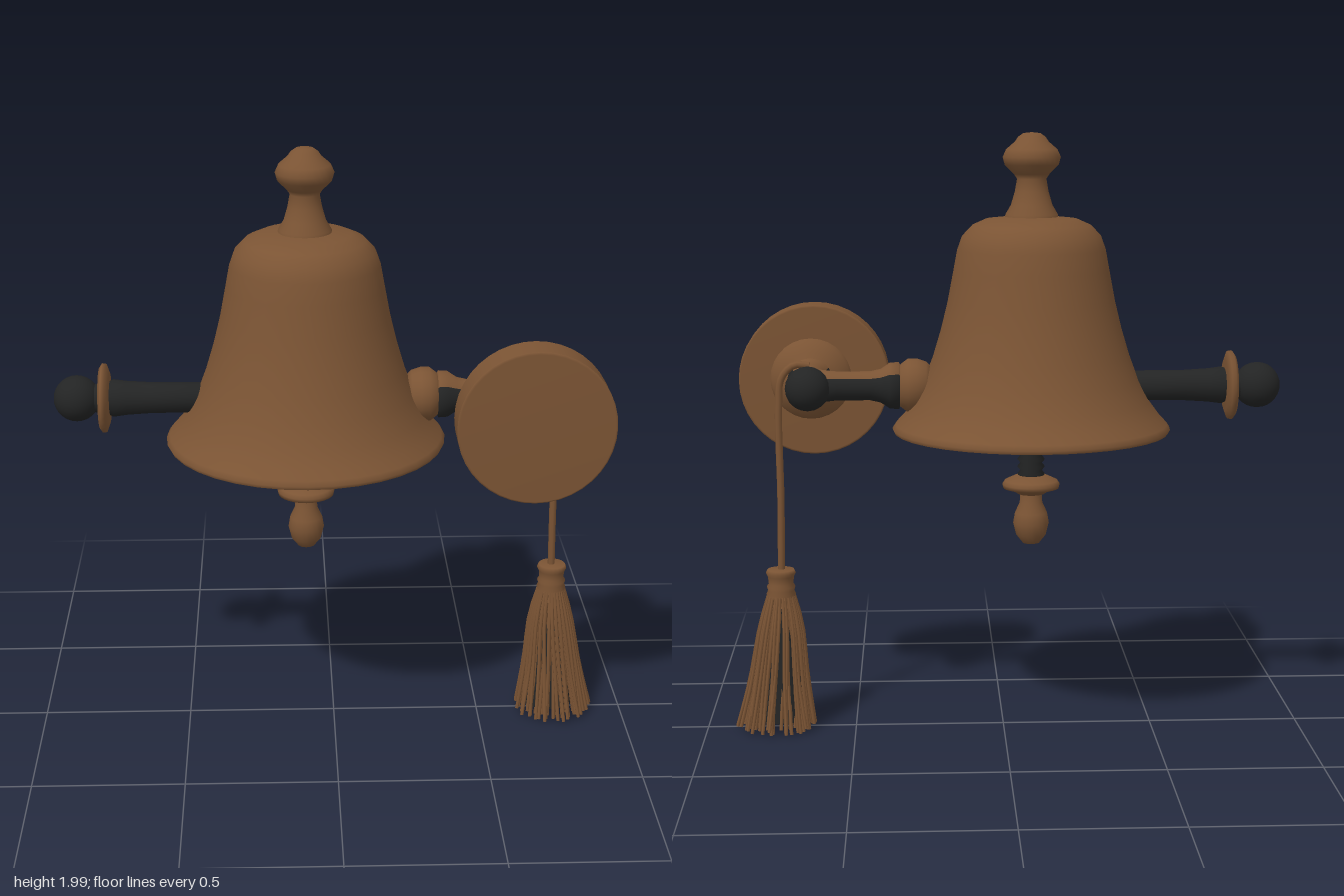
import * as THREE from 'three';

export function createModel() {
  const root = new THREE.Group();
  root.name = 'wallBell';
  const brown = new THREE.MeshStandardMaterial({ color: 0x7b5434, side: THREE.DoubleSide });
  brown.name = 'aged bronze';
  const black = new THREE.MeshStandardMaterial({ color: 0x232424, side: THREE.DoubleSide });
  black.name = 'black iron';

  const add = (parent, name, geo, mat, x = 0, y = 0, z = 0) => {
    const m = new THREE.Mesh(geo, mat);
    m.name = name;
    m.position.set(x, y, z);
    parent.add(m);
    return m;
  };
  const group = (name, x, y, z) => {
    const g = new THREE.Group();
    g.name = name;
    g.position.set(x, y, z);
    root.add(g);
    return g;
  };
  // Turned part from [radius, height] pairs, listed bottom to top
  const turned = (pts, seg = 28, start = 0, len = Math.PI * 2) =>
    new THREE.LatheGeometry(pts.map(p => new THREE.Vector2(p[0], p[1])), seg, start, len);

  // Bell with finial and clapper, all on one vertical axis
  const bell = group('bell', -0.093, 0, 0);
  add(bell, 'bellSkirt', turned([
    [0.455, 1.018], [0.461, 1.03], [0.45, 1.045], [0.425, 1.072], [0.39, 1.12], [0.355, 1.19],
    [0.325, 1.27], [0.298, 1.36], [0.276, 1.45], [0.257, 1.55], [0.244, 1.62], [0.228, 1.665],
    [0.195, 1.7], [0.15, 1.72], [0.075, 1.728],
  ], 36), brown);
  add(bell, 'bellUnderside', turned([[0, 0.965], [0.06, 0.97], [0.455, 1.018]], 36), brown);
  add(bell, 'finial', turned([
    [0.088, 1.715], [0.086, 1.735], [0.068, 1.765], [0.055, 1.81], [0.048, 1.85], [0.058, 1.865],
    [0.088, 1.895], [0.095, 1.92], [0.084, 1.945], [0.055, 1.97], [0.045, 1.985], [0.028, 1.997], [0, 2],
  ], 24), brown);
  const thread = [];
  for (let i = 0; i < 5; i++) {
    const y = 0.86 + i * 0.025;
    thread.push([0.036, y], [0.046, y + 0.012]);
  }
  add(bell, 'clapperThread', turned(thread, 18), black);
  add(bell, 'clapperDisc', turned([
    [0, 0.8], [0.045, 0.805], [0.06, 0.815], [0.093, 0.825], [0.096, 0.838], [0.088, 0.85], [0.05, 0.868], [0, 0.87],
  ]), brown);
  add(bell, 'clapperBulb', turned([
    [0, 0.63], [0.028, 0.637], [0.05, 0.665], [0.06, 0.705], [0.054, 0.74], [0.038, 0.775], [0.035, 0.815],
  ], 20), brown);

  // Side handle, pointing to the model's right
  const handle = group('handle', 0, 1.168, -0.003);
  handle.rotation.z = Math.PI / 2;
  add(handle, 'handleRod', turned([
    [0, 0.43], [0.05, 0.43], [0.051, 0.6], [0.056, 0.68], [0.062, 0.725], [0.05, 0.75], [0.046, 0.79],
  ], 16), black);
  add(handle, 'handleRing', turned([
    [0, 0.735], [0.085, 0.737], [0.113, 0.747], [0.115, 0.76], [0.1, 0.77], [0, 0.774],
  ]), brown);
  add(handle, 'handleKnob', new THREE.SphereGeometry(0.076, 20, 14), black, 0, 0.845, 0);

  // Bracket arm: bronze along its top, black iron below
  const TOP = 1.9;
  const twoTone = (parent, name, pts, up) => {
    add(parent, name + 'Top', turned(pts, 10, up - TOP / 2, TOP), brown);
    add(parent, name + 'Lower', turned(pts, 20, up + TOP / 2, Math.PI * 2 - TOP), black);
  };
  const arm = group('bracketArm', 0, 1.172, 0);
  arm.rotation.z = -Math.PI / 2;
  add(arm, 'armFlange', turned([
    [0, 0.235], [0.06, 0.235], [0.08, 0.255], [0.09, 0.285], [0.09, 0.315], [0.075, 0.335], [0.058, 0.355], [0, 0.36],
  ], 20), brown);
  twoTone(arm, 'armPipe', [
    [0.055, 0.335], [0.078, 0.345], [0.076, 0.375], [0.056, 0.405], [0.048, 0.44], [0.048, 0.55], [0.056, 0.62], [0, 0.65],
  ], Math.PI * 1.5);

  // Elbow stub running forward to the round wall plate
  const stub = group('plateStub', 0.645, 1.168, 0);
  stub.rotation.x = Math.PI / 2;
  twoTone(stub, 'stubPipe', [
    [0.062, -0.05], [0.066, 0], [0.064, 0.1], [0.072, 0.135], [0.085, 0.16],
  ], Math.PI);
  add(stub, 'elbowKnob', new THREE.SphereGeometry(0.074, 20, 14), black, 0, -0.036, 0);
  add(stub, 'stubFlare', turned([[0.07, 0.14], [0.095, 0.155], [0.13, 0.178], [0.14, 0.205]]), brown);

  const plate = group('roundPlate', 0.635, 1.163, 0);
  plate.rotation.x = Math.PI / 2;
  add(plate, 'plateBody', new THREE.CylinderGeometry(0.255, 0.255, 0.112, 40, 1, true), brown, 0, 0.262, 0);
  add(plate, 'plateBack', turned([[0, 0.199], [0.248, 0.199], [0.255, 0.206]], 40), brown);
  add(plate, 'plateFront', turned([[0.255, 0.318], [0.248, 0.325], [0, 0.325]], 40), brown);

  // Pull cord looped over the elbow
  const v = (x, y, z) => new THREE.Vector3(x, y, z);
  const cordPath = new THREE.CatmullRomCurve3([
    v(0.64, 1.24, 0), v(0.69, 1.242, 0), v(0.732, 1.2, 0), v(0.743, 1.1, 0), v(0.741, 0.8, 0), v(0.744, 0.53, 0),
  ]);
  add(root, 'pullCord', new THREE.TubeGeometry(cordPath, 40, 0.012, 8), brown);

  // Tassel: bound cap, dark core and loose strands
  const tassel = group('tassel', 0.746, 0, 0);
  add(tassel, 'tasselCap', turned([
    [0, 0.555], [0.045, 0.553], [0.05, 0.542], [0.044, 0.53], [0.041, 0.505], [0.048, 0.495],
    [0.044, 0.482], [0.049, 0.47], [0.046, 0.45], [0.055, 0.43],
  ].reverse(), 20), brown);
  add(tassel, 'tasselCore', turned([[0.088, 0.04], [0.08, 0.18], [0.064, 0.33], [0.04, 0.46]], 18), black);
  let seed = 7;
  const rnd = () => (seed = (seed * 16807) % 2147483647) / 2147483647;
  const COUNT = 96;
  for (let i = 0; i < COUNT; i++) {
    const a = (i / COUNT) * Math.PI * 2 * 3 + (rnd() - 0.5) * 0.12;
    const layer = [1, 0.9, 0.76][Math.floor((i * 3) / COUNT)];
    const end = (0.118 + rnd() * 0.018) * layer;
    const twist = (rnd() - 0.5) * 0.25;
    const at = (r, y, t, dx) => v(Math.cos(a + t) * r + dx, y, Math.sin(a + t) * r);
    const path = new THREE.CatmullRomCurve3([
      at(0.043 * layer, 0.465, 0, 0), at(0.072 * layer, 0.36, 0, 0.002),
      at(0.098 * layer, 0.18, twist / 2, 0.012), at(end, 0.008 + rnd() * 0.02, twist, 0.02),
    ]);
    add(tassel, 'tasselStrand', new THREE.TubeGeometry(path, 7, 0.0062, 5), brown);
  }
  return root;
}
